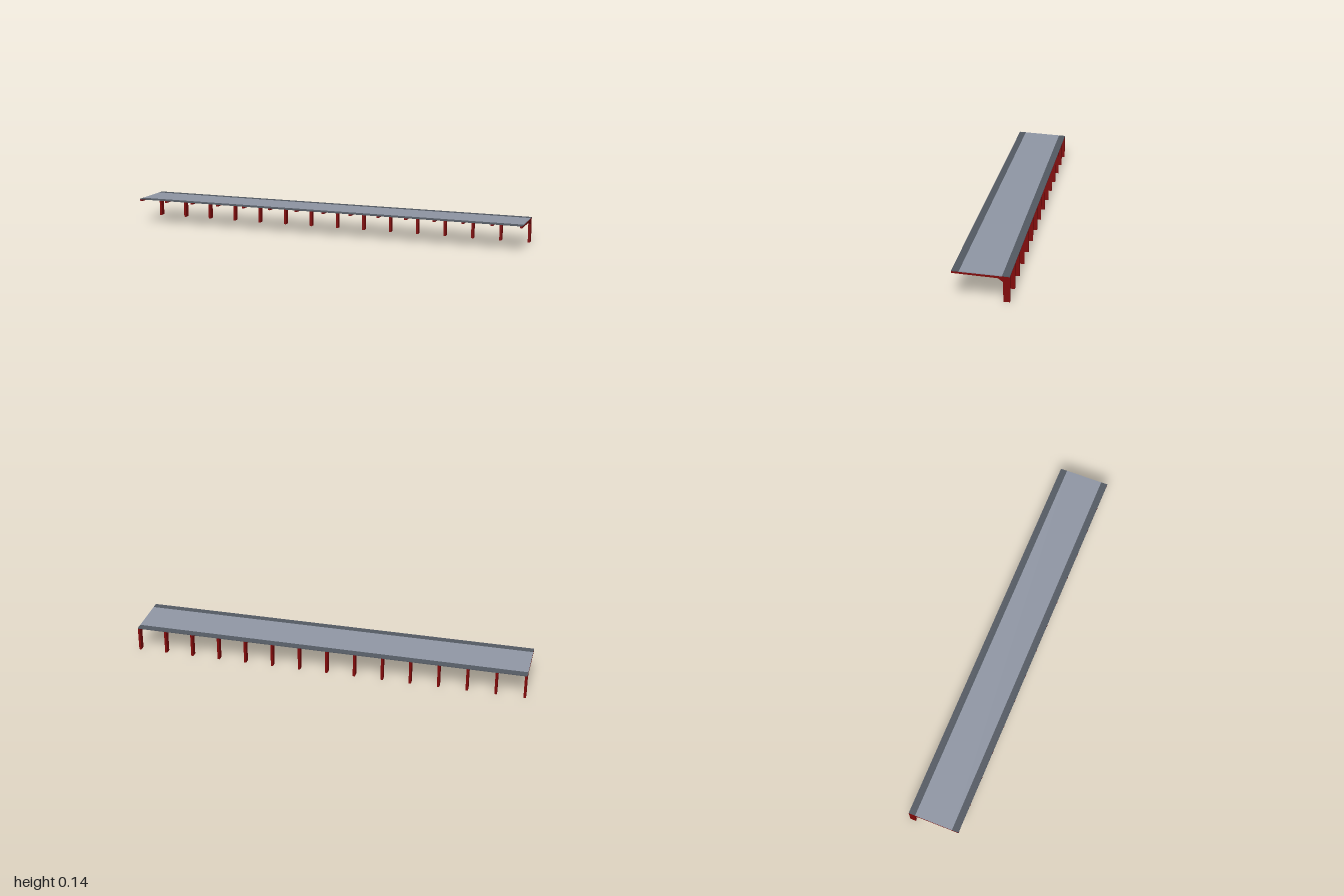
import * as THREE from 'three';

export function createModel() {
  const mat = (name, color) => {
    const m = new THREE.MeshStandardMaterial({ color });
    m.name = name;
    return m;
  };
  const red = mat('red steel', 0x800808);
  const panelGrey = mat('panel grey', 0x8f96a4);
  const trimGrey = mat('dark trim grey', 0x535962);

  const HALF_W = 0.1375, HALF_L = 1.0545, FRAMES = 15, FRAME_T = 0.012, ROOF_T = 0.004;
  // roof top height across the width: high at the free edge, low over the posts
  const roofY = x => 0.1365 - 0.0065 * x / HALF_W;

  const extrude = (points, depth) => {
    const shape = new THREE.Shape(points.map(p => new THREE.Vector2(...p)));
    return new THREE.ExtrudeGeometry(shape, { depth, bevelEnabled: false }).translate(0, 0, -depth / 2);
  };

  const model = new THREE.Group();
  model.name = 'cantileverCanopy';
  const canopy = new THREE.Group();
  canopy.name = 'canopy';
  canopy.rotation.y = 0.4803;
  model.add(canopy);

  // roof: light central panel between two dark edge strips
  const strip = (name, x0, x1, material) => {
    const geo = extrude([
      [x0, roofY(x0) - ROOF_T], [x1, roofY(x1) - ROOF_T], [x1, roofY(x1)], [x0, roofY(x0)],
    ], HALF_L * 2);
    const mesh = new THREE.Mesh(geo, material);
    mesh.name = name;
    canopy.add(mesh);
  };
  const edge = HALF_W - 0.036;
  strip('freeEdgeTrim', -HALF_W, -edge, trimGrey);
  strip('roofPanel', -edge, edge, panelGrey);
  strip('postEdgeTrim', edge, HALF_W, trimGrey);

  // cantilever frame: post, corner brace and sloping beam in one profile
  const under = x => roofY(x) - ROOF_T;
  const postIn = HALF_W - 0.031;
  const frameGeo = extrude([
    [postIn, 0], [HALF_W, 0], [HALF_W, under(HALF_W)], [-HALF_W, under(-HALF_W)],
    [-HALF_W, 0.13], [postIn - 0.026, 0.118], [postIn, 0.1],
  ], FRAME_T);
  const reach = HALF_L - FRAME_T / 2;
  for (let i = 0; i < FRAMES; i++) {
    const frame = new THREE.Mesh(frameGeo, red);
    frame.name = 'supportFrame' + (i + 1);
    frame.position.z = -reach + 2 * reach * i / (FRAMES - 1);
    canopy.add(frame);
  }
  return model;
}
